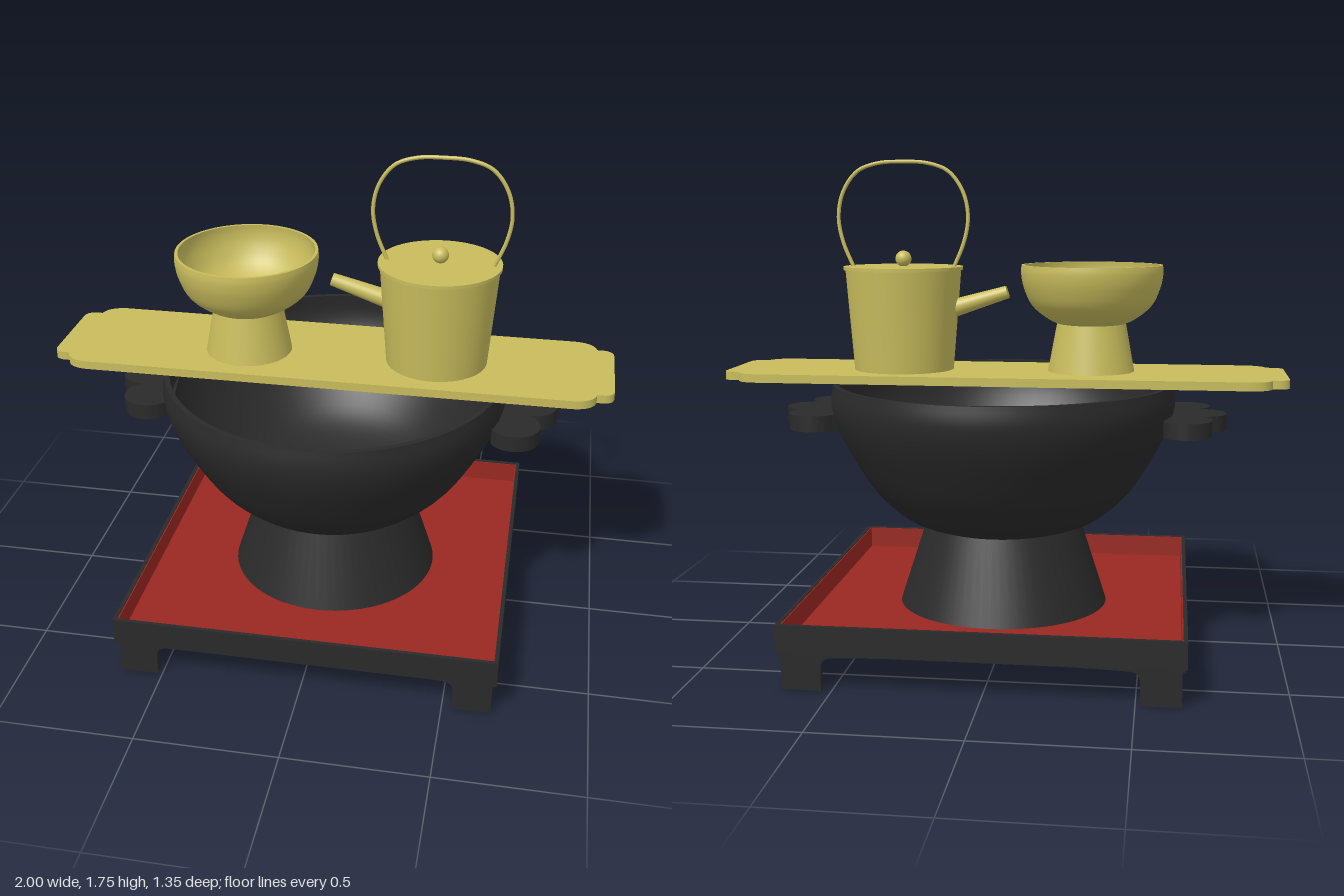
import * as THREE from 'three';
import { toCreasedNormals } from 'three/addons/utils/BufferGeometryUtils.js';

const material = (color) => new THREE.MeshStandardMaterial({ color });
const black = material(0x2a2a2a);
const red = material(0x9a2822);
const gold = material(0xc8bc5c);

function add(parent, name, geometry, mat, x = 0, y = 0, z = 0) {
  const mesh = new THREE.Mesh(geometry, mat);
  mesh.name = name;
  mesh.position.set(x, y, z);
  parent.add(mesh);
  return mesh;
}

const vectors = (list) => list.map(([x, y]) => new THREE.Vector2(x, y));
const smooth = (list, n = 20) => new THREE.SplineCurve(vectors(list)).getPoints(n);
const lathe = (points) => toCreasedNormals(new THREE.LatheGeometry(points, 72), 0.6);

// Flat outline in plan, raised upwards from y = 0
function slab(shape, height) {
  const g = new THREE.ExtrudeGeometry(shape, { depth: height, bevelEnabled: false, curveSegments: 16 });
  g.rotateX(-Math.PI / 2);
  return toCreasedNormals(g, 0.6);
}

// Square ring of the given outer half size and wall thickness
function squareRing(half, wall) {
  const square = (s) => vectors([[-s, -s], [s, -s], [s, s], [-s, s]]);
  const shape = new THREE.Shape(square(half));
  shape.holes.push(new THREE.Path(square(half - wall).reverse()));
  return shape;
}

function createTray() {
  const tray = new THREE.Group();
  tray.name = 'tray';
  add(tray, 'trayRim', slab(squareRing(0.675, 0.014), 0.095), black, 0, 0.13, 0);
  add(tray, 'trayLining', slab(squareRing(0.662, 0.005), 0.087), red, 0, 0.135, 0);
  add(tray, 'trayBase', new THREE.BoxGeometry(1.34, 0.014, 1.34), black, 0, 0.131, 0);
  add(tray, 'trayFloor', new THREE.BoxGeometry(1.325, 0.006, 1.325), red, 0, 0.139, 0);

  // Each side board forms half of two corner legs and the low apron between them
  const board = new THREE.Shape();
  board.moveTo(-0.66, 0.132);
  board.lineTo(-0.66, 0);
  board.lineTo(-0.525, 0);
  board.lineTo(-0.525, 0.08);
  board.quadraticCurveTo(-0.525, 0.114, -0.48, 0.115);
  board.quadraticCurveTo(0, 0.132, 0.48, 0.115);
  board.quadraticCurveTo(0.525, 0.114, 0.525, 0.08);
  board.lineTo(0.525, 0);
  board.lineTo(0.66, 0);
  board.lineTo(0.66, 0.132);
  const g = new THREE.ExtrudeGeometry(board, { depth: 0.025, bevelEnabled: false });
  g.translate(0, 0, 0.635);
  for (let i = 0; i < 4; i++) {
    add(tray, 'legBoard', g, black).rotation.y = (i * Math.PI) / 2;
  }
  return tray;
}

function createBrazier() {
  const brazier = new THREE.Group();
  brazier.name = 'brazier';
  add(brazier, 'brazierFoot', lathe(vectors([[0, 0.141], [0.38, 0.141], [0.284, 0.44], [0, 0.44]])), black);

  // Deep bowl, slightly narrower across x
  const outer = smooth([[0.285, 0.435], [0.385, 0.475], [0.495, 0.573], [0.585, 0.71], [0.635, 0.81], [0.655, 0.89], [0.647, 0.96]], 32);
  const inner = smooth([[0.628, 0.96], [0.633, 0.89], [0.612, 0.81], [0.56, 0.71], [0.47, 0.6], [0.36, 0.515], [0.2, 0.465], [0, 0.45]], 32);
  add(brazier, 'brazierBowl', lathe([new THREE.Vector2(0, 0.435), ...outer, ...inner]), black).scale.x = 0.95;

  // Three-lobed side handles
  const lobes = new THREE.Shape();
  lobes.moveTo(0.56, -0.2);
  lobes.absarc(0.66, -0.167, 0.09, -2.6, 1.035, false);
  lobes.absarc(0.715, 0, 0.09, -1.671, 1.671, false);
  lobes.absarc(0.66, 0.167, 0.09, -1.035, 2.6, false);
  lobes.lineTo(0.56, 0.2);
  lobes.lineTo(0.595, 0);
  const handle = slab(lobes, 0.057);
  for (const [name, turn] of [['leftHandle', 0], ['rightHandle', Math.PI]]) {
    add(brazier, name, handle, black, 0, 0.798, -0.013).rotation.y = turn;
  }
  return brazier;
}

function createBoard() {
  const shape = new THREE.Shape();
  shape.moveTo(0.86, -0.24);
  shape.quadraticCurveTo(0.93, -0.235, 0.94, -0.18);
  shape.lineTo(0.965, -0.18);
  shape.quadraticCurveTo(1, -0.175, 1, -0.14);
  shape.lineTo(1, 0.14);
  shape.quadraticCurveTo(1, 0.175, 0.965, 0.18);
  shape.lineTo(0.94, 0.18);
  shape.quadraticCurveTo(0.93, 0.235, 0.86, 0.24);
  // The other end mirrors the first
  const half = shape.getPoints(10);
  const mirrored = half.map((p) => new THREE.Vector2(-p.x, p.y)).reverse();
  return slab(new THREE.Shape([...half, ...mirrored]), 0.03);
}

function createCup() {
  const cup = new THREE.Group();
  cup.name = 'cup';
  add(cup, 'cupFoot', lathe(vectors([[0, 0], [0.155, 0], [0.123, 0.175], [0, 0.175]])), gold);
  const outer = smooth([[0.1, 0.162], [0.16, 0.185], [0.225, 0.235], [0.257, 0.3], [0.267, 0.35], [0.265, 0.38]]);
  const inner = smooth([[0.254, 0.38], [0.255, 0.35], [0.245, 0.305], [0.212, 0.245], [0.15, 0.2], [0.08, 0.182], [0, 0.178]]);
  add(cup, 'cupBowl', lathe([new THREE.Vector2(0, 0.162), ...outer, ...inner]), gold).scale.x = 0.95;
  return cup;
}

function createKettle() {
  const kettle = new THREE.Group();
  kettle.name = 'kettle';
  add(kettle, 'kettleBody', lathe(vectors([[0, 0], [0.18, 0], [0.209, 0.36], [0, 0.36]])), gold);
  add(kettle, 'lid', new THREE.CylinderGeometry(0.216, 0.216, 0.012, 72), gold, 0, 0.366, 0);
  add(kettle, 'lidKnob', new THREE.SphereGeometry(0.029, 24, 16), gold, 0, 0.399, 0);

  // Tapered spout pointing to the right
  const base = new THREE.Vector3(-0.155, 0.213, 0);
  const tip = new THREE.Vector3(-0.38, 0.282, 0);
  const direction = tip.clone().sub(base);
  const spout = add(kettle, 'spout', new THREE.CylinderGeometry(0.023, 0.034, direction.length(), 32), gold);
  spout.position.copy(base).lerp(tip, 0.5);
  spout.quaternion.setFromUnitVectors(new THREE.Vector3(0, 1, 0), direction.normalize());

  // Thin hoop handle
  const side = [[0.183, 0.365], [0.222, 0.46], [0.237, 0.55], [0.218, 0.64], [0.165, 0.711], [0.09, 0.739]];
  const path = [
    ...side.map(([x, y]) => new THREE.Vector3(-x, y, 0)),
    new THREE.Vector3(0, 0.744, 0),
    ...side.map(([x, y]) => new THREE.Vector3(x, y, 0)).reverse(),
  ];
  add(kettle, 'kettleHandle', new THREE.TubeGeometry(new THREE.CatmullRomCurve3(path), 80, 0.007, 10), gold);
  return kettle;
}

export function createModel() {
  const model = new THREE.Group();
  model.name = 'brazierTeaSet';
  const tray = createTray();
  const brazier = createBrazier();
  tray.position.x = brazier.position.x = 0.01;
  const cup = createCup();
  cup.position.set(-0.308, 1, 0.003);
  const kettle = createKettle();
  kettle.position.set(0.373, 1, -0.02);
  model.add(tray, brazier, cup, kettle);
  add(model, 'servingBoard', createBoard(), gold, 0, 0.97, -0.02);
  return model;
}
